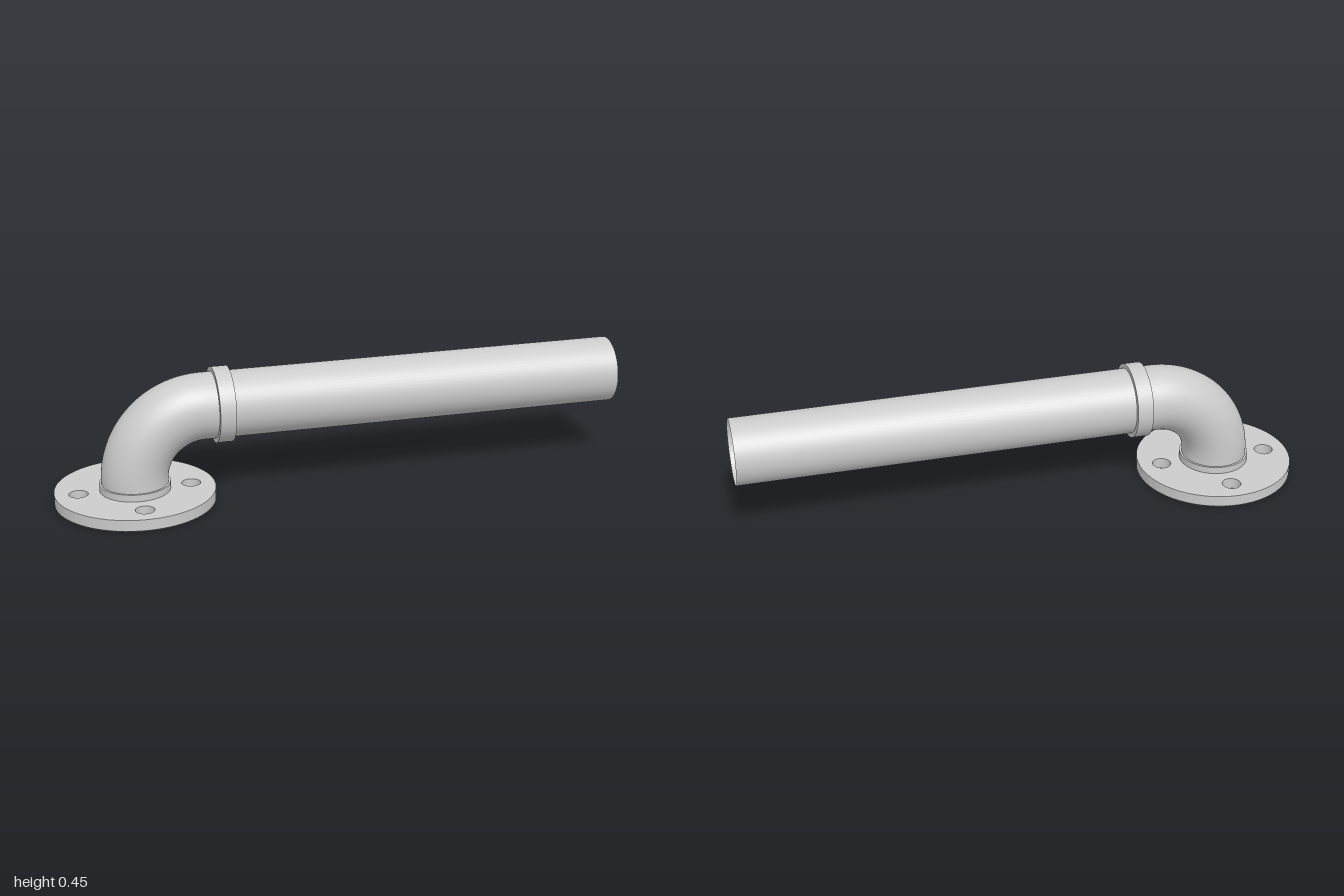
import * as THREE from 'three';

const STEM_X = -0.723;  // axis of the upright stub
const PIPE_Y = 0.318;   // axis of the long pipe
const PIPE_R = 0.115;
const BEND_R = 0.24;

const grey = new THREE.MeshStandardMaterial({ color: 0xcccccc, side: THREE.DoubleSide });

function add(parent, name, geometry) {
  const mesh = new THREE.Mesh(geometry, grey);
  mesh.name = name;
  parent.add(mesh);
  return mesh;
}

// Square-edged ring around y, built from separate walls so the rims stay sharp
function makeRing(name, inner, outer, length) {
  const ring = new THREE.Group();
  ring.name = name;
  add(ring, name + 'Wall', new THREE.CylinderGeometry(outer, outer, length, 64, 1, true));
  for (const side of [-1, 1]) {
    const face = add(ring, name + 'Face', new THREE.RingGeometry(inner, outer, 64));
    face.rotation.x = -side * Math.PI / 2;
    face.position.y = side * length / 2;
  }
  return ring;
}

export function createModel() {
  const model = new THREE.Group();
  model.name = 'flangedPipe';

  // Mounting flange with four blind bolt holes
  const flange = new THREE.Group();
  flange.name = 'flange';
  flange.position.x = STEM_X;
  const disc = new THREE.Shape().absarc(0, 0, 0.277, 0, Math.PI * 2);
  for (let i = 0; i < 4; i++) {
    const a = i * Math.PI / 2;
    disc.holes.push(new THREE.Path().absarc(Math.cos(a) * 0.195, Math.sin(a) * 0.195, 0.033, 0, Math.PI * 2, true));
  }
  const plate = add(flange, 'flangePlate',
    new THREE.ExtrudeGeometry(disc, { depth: 0.039, bevelEnabled: false, curveSegments: 32 }));
  plate.rotation.x = -Math.PI / 2;
  plate.position.y = 0.001;
  const base = add(flange, 'flangeBase', new THREE.CircleGeometry(0.277, 64));
  base.rotation.x = Math.PI / 2;
  model.add(flange);

  // Low collar where the elbow meets the flange
  const baseCollar = makeRing('baseCollar', PIPE_R - 0.003, 0.122, 0.026);
  baseCollar.position.set(STEM_X, 0.052, 0);
  model.add(baseCollar);

  // Elbow: short upright run, quarter bend, short level run
  const bendY = PIPE_Y - BEND_R;
  const bendX = STEM_X + BEND_R;
  const path = new THREE.CurvePath();
  path.add(new THREE.LineCurve3(new THREE.Vector3(STEM_X, 0.04, 0), new THREE.Vector3(STEM_X, bendY, 0)));
  const bend = new THREE.Curve();
  bend.getPoint = (t, target = new THREE.Vector3()) => target.set(
    bendX - BEND_R * Math.cos(t * Math.PI / 2), bendY + BEND_R * Math.sin(t * Math.PI / 2), 0);
  path.add(bend);
  path.add(new THREE.LineCurve3(new THREE.Vector3(bendX, PIPE_Y, 0), new THREE.Vector3(-0.42, PIPE_Y, 0)));
  add(model, 'elbow', new THREE.TubeGeometry(path, 64, PIPE_R, 64, false));

  // Collar joining elbow and pipe
  const jointCollar = makeRing('jointCollar', PIPE_R - 0.003, 0.131, 0.056);
  jointCollar.rotation.z = -Math.PI / 2;
  jointCollar.position.set(-0.417, PIPE_Y, 0);
  model.add(jointCollar);

  // Long open-ended pipe
  const length = 1.42;
  const pipe = add(model, 'pipe', new THREE.CylinderGeometry(PIPE_R, PIPE_R, length, 64, 1, true));
  pipe.rotation.z = -Math.PI / 2;
  pipe.position.set(1 - length / 2, PIPE_Y, 0);

  return model;
}
